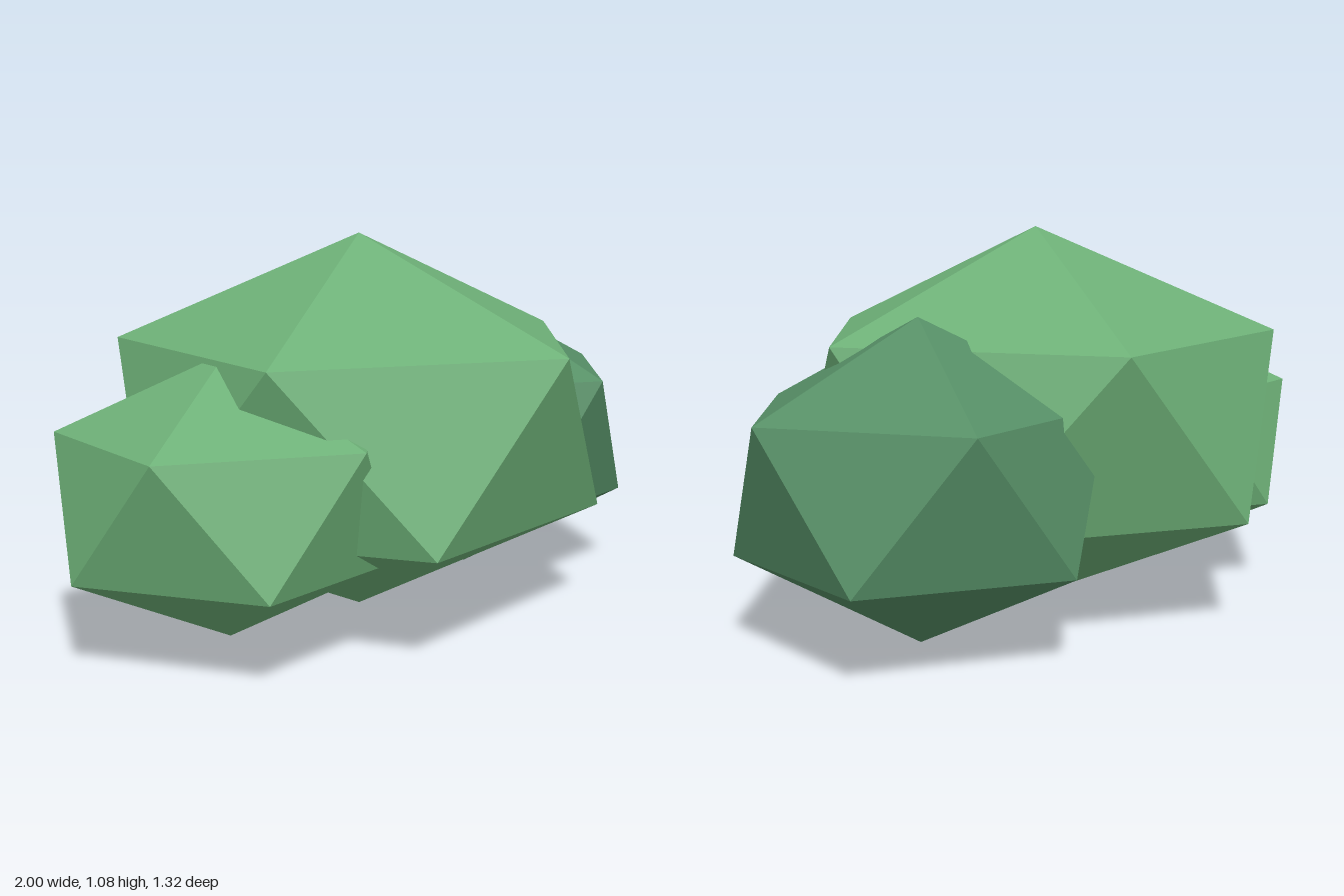
import * as THREE from 'three';

// Squashed icosahedron standing on one vertex, with an upper-ring vertex toward +x
function lobe(name, color, [x, y, z], radius, height) {
  const geometry = new THREE.IcosahedronGeometry(1, 0);
  geometry.rotateZ(-Math.atan(2 / (1 + Math.sqrt(5))));
  geometry.scale(radius, height / 2, radius);
  const mesh = new THREE.Mesh(
    geometry,
    new THREE.MeshStandardMaterial({ color, flatShading: true })
  );
  mesh.name = name;
  mesh.position.set(x, y, z);
  return mesh;
}

export function createModel() {
  const bush = new THREE.Group();
  bush.name = 'bush';
  // Large middle clump, with a smaller clump overlapping on each side
  bush.add(
    lobe('middleFoliage', 0x6db077, [-0.03, 0.543, 0], 0.771, 1.08),
    lobe('leftFoliage', 0x568f66, [0.511, 0.437, -0.195], 0.547, 0.867),
    lobe('rightFoliage', 0x6db077, [-0.54, 0.414, 0.13], 0.514, 0.771)
  );
  return bush;
}
